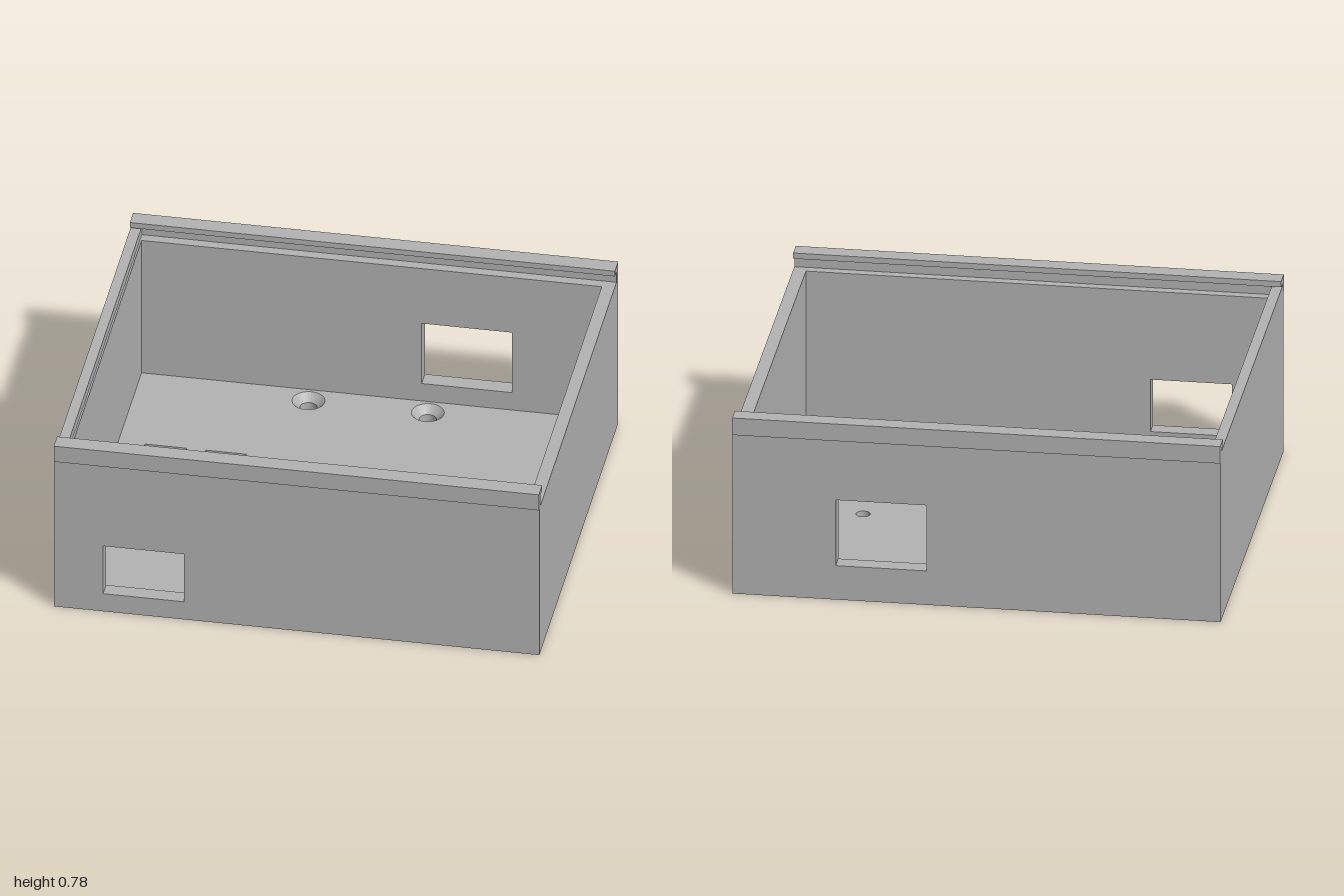
import * as THREE from 'three';

const FLOOR = 0.066, WALL_TOP = 0.705, HALF_Z = 0.875;

const grey = new THREE.MeshStandardMaterial({ color: 0xb2b2b2, side: THREE.DoubleSide });
grey.name = 'grey plastic';

function rectPath(Type, x0, y0, x1, y1) {
  const p = new Type();
  p.moveTo(x0, y0);
  p.lineTo(x1, y0);
  p.lineTo(x1, y1);
  p.lineTo(x0, y1);
  p.closePath();
  return p;
}

function circlePath(x, y, r) {
  const p = new THREE.Path();
  p.absarc(x, y, r, 0, Math.PI * 2, true);
  return p;
}

function extrude(shape, depth) {
  return new THREE.ExtrudeGeometry(shape, { depth, bevelEnabled: false, curveSegments: 20 });
}

export function createModel() {
  const group = new THREE.Group();
  const add = (name, geometry) => {
    const mesh = new THREE.Mesh(geometry, grey);
    mesh.name = name;
    group.add(mesh);
    return mesh;
  };
  const box = (name, x0, x1, y0, y1, z0, z1) =>
    add(name, new THREE.BoxGeometry(x1 - x0, y1 - y0, z1 - z0)
      .translate((x0 + x1) / 2, (y0 + y1) / 2, (z0 + z1) / 2));

  // Floor in two layers, so the screw holes can widen towards the top
  const screwX = [-0.247, 0.245], screwZ = -0.722, rSmall = 0.035, rLarge = 0.067;
  const sinkBottom = FLOOR - (rLarge - rSmall);
  const pegHoles = [
    [0.572, -0.147], [0.799, -0.147], [0.22, 0.131],
    [0.825, 0.131], [0.22, 0.687], [0.825, 0.687],
  ];
  const floorLayer = (name, bottom, top, screwRadius) => {
    const shape = rectPath(THREE.Shape, -1, -HALF_Z, 1, HALF_Z);
    for (const [x, z] of pegHoles) shape.holes.push(circlePath(x, z, 0.029));
    for (const x of screwX) shape.holes.push(circlePath(x, screwZ, screwRadius));
    for (const [x0, x1] of [[-0.84, -0.668], [-0.589, -0.422]]) {
      for (const z of [-0.283, 0.794]) {
        shape.holes.push(rectPath(THREE.Path, x0, z, x1, z + 0.043));
      }
    }
    add(name, extrude(shape, top - bottom).rotateX(Math.PI / 2).translate(0, top, 0));
  };
  floorLayer('floorLower', 0, sinkBottom, rSmall);
  floorLayer('floorUpper', sinkBottom, FLOOR, rLarge);
  for (const x of screwX) {
    add('countersink', new THREE.CylinderGeometry(rLarge, rSmall, FLOOR - sinkBottom, 40, 1, true)
      .scale(-1, 1, 1)
      .translate(x, (FLOOR + sinkBottom) / 2, screwZ)).geometry.index.array.reverse();
  }

  // Front and back walls, each with a rectangular opening
  const wall = (name, z0, z1, hole) => {
    const shape = rectPath(THREE.Shape, -1, FLOOR, 1, WALL_TOP);
    shape.holes.push(rectPath(THREE.Path, ...hole));
    add(name, extrude(shape, z1 - z0).translate(0, 0, z0));
  };
  wall('frontWall', 0.808, HALF_Z, [-0.798, 0.085, -0.465, 0.315]);
  wall('backWall', -HALF_Z, -0.803, [0.205, 0.15, 0.577, 0.44]);

  // Side walls; the right one carries a raised stop for a sliding lid
  box('leftWall', 0.947, 1, FLOOR, WALL_TOP, -0.803, 0.808);
  box('rightWall', -1, -0.95, FLOOR, WALL_TOP, -0.803, 0.808);
  box('lidStop', -1, -0.957, WALL_TOP, 0.744, -0.845, 0.845);

  // Hooked lid rails along the front and back
  const profile = new THREE.Shape([
    [0.885, WALL_TOP], [0.885, 0.78], [0.812, 0.78],
    [0.812, 0.755], [0.846, 0.755], [0.846, WALL_TOP],
  ].map(([z, y]) => new THREE.Vector2(z, y)));
  const rail = extrude(profile, 2).rotateY(-Math.PI / 2).translate(1, 0, 0);
  add('frontRail', rail);
  add('backRail', rail.clone().rotateY(Math.PI));

  return group;
}
